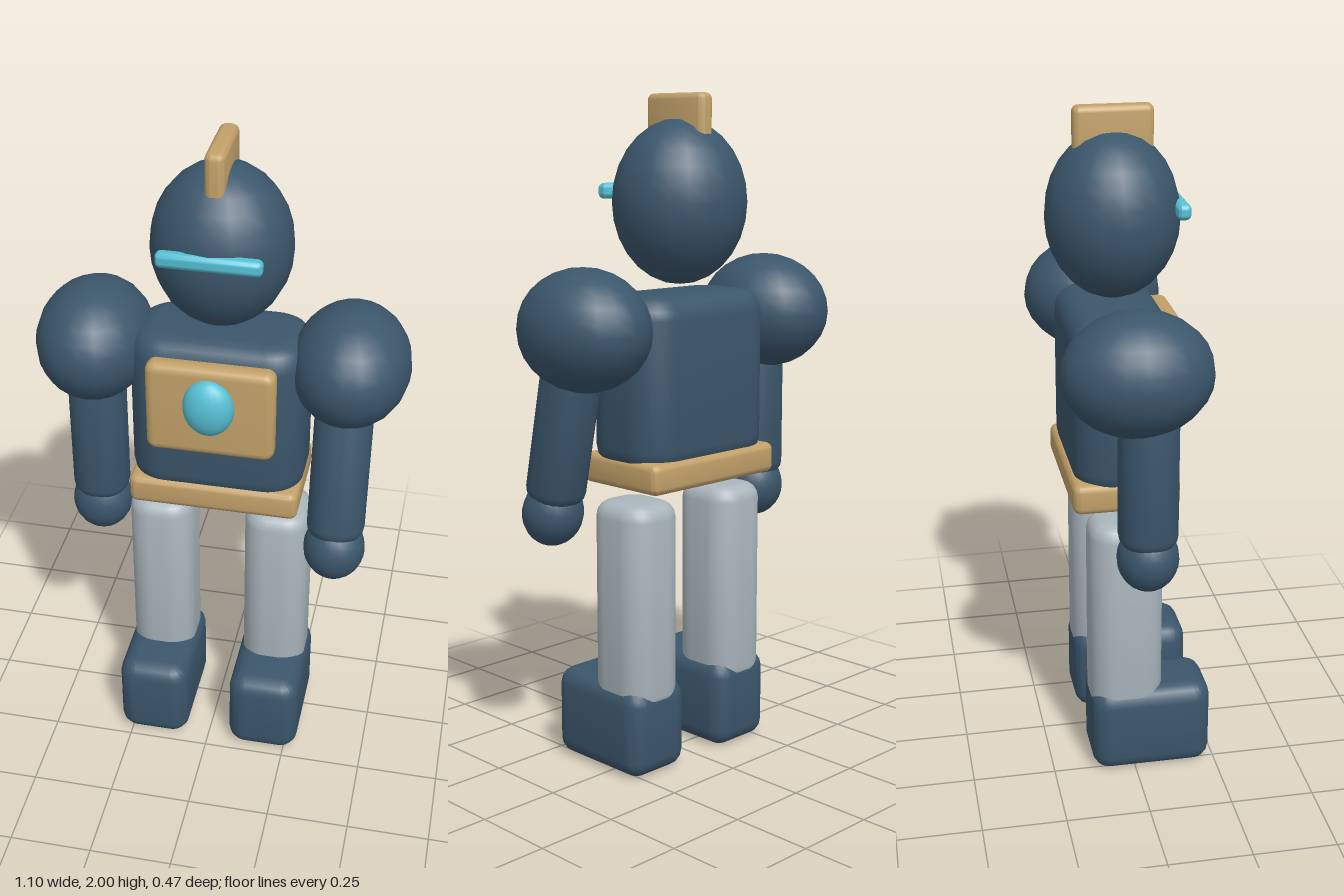
import * as THREE from 'three';
import { toCreasedNormals } from 'three/addons/utils/BufferGeometryUtils.js';

const paint = (name, color) => {
  const m = new THREE.MeshStandardMaterial({ color });
  m.name = name;
  return m;
};

// Upright block: r rounds the vertical edges, bevel rounds top and bottom
function block(w, h, d, r, bevel) {
  const x = w / 2, y = d / 2, s = new THREE.Shape();
  s.moveTo(-x + r, -y);
  s.lineTo(x - r, -y);
  s.absarc(x - r, -y + r, r, -Math.PI / 2, 0);
  s.lineTo(x, y - r);
  s.absarc(x - r, y - r, r, 0, Math.PI / 2);
  s.lineTo(-x + r, y);
  s.absarc(-x + r, y - r, r, Math.PI / 2, Math.PI);
  s.lineTo(-x, -y + r);
  s.absarc(-x + r, -y + r, r, Math.PI, Math.PI * 1.5);
  const g = new THREE.ExtrudeGeometry(s, {
    depth: h - 2 * bevel, curveSegments: 5, bevelEnabled: true,
    bevelThickness: bevel, bevelSize: bevel, bevelOffset: -bevel, bevelSegments: 4,
  });
  g.rotateX(-Math.PI / 2);
  g.center();
  return toCreasedNormals(g, 0.7);
}

// Ellipsoid with the given half sizes
function ball(rx, ry, rz) {
  return new THREE.SphereGeometry(1, 20, 14).scale(rx, ry, rz);
}

export function createModel() {
  const navy = paint('navy armour', 0x3b566b);
  const tan = paint('tan trim', 0xc2a169);
  const cyan = paint('cyan glow', 0x56c0d4);
  const grey = paint('grey legs', 0xaab6bd);

  const model = new THREE.Group();
  model.name = 'robot';
  const add = (name, geometry, material, x, y, z, parent = model) => {
    const mesh = new THREE.Mesh(geometry, material);
    mesh.name = name;
    mesh.position.set(x, y, z);
    parent.add(mesh);
    return mesh;
  };

  // Head
  add('head', ball(0.203, 0.24, 0.195), navy, 0, 1.69, -0.022);
  add('crest', block(0.056, 0.25, 0.23, 0.022, 0.018), tan, 0, 1.875, -0.02);
  add('visor', block(0.295, 0.046, 0.04, 0.016, 0.016), cyan, 0, 1.72, 0.158);

  // Body
  add('torso', block(0.52, 0.51, 0.3, 0.11, 0.065), navy, 0, 1.175, -0.02);
  const plate = add('chestPlate', block(0.375, 0.07, 0.29, 0.03, 0.025), tan, 0, 1.245, 0.14);
  plate.rotation.x = Math.PI / 2;
  add('chestGem', ball(0.075, 0.09, 0.05), cyan, 0, 1.27, 0.175);
  add('belt', block(0.51, 0.09, 0.315, 0.025, 0.02), tan, 0, 0.915, -0.022);

  for (const side of [-1, 1]) {
    const label = side > 0 ? 'left' : 'right';

    // Arm hung from the shoulder; the left one swings forward
    add(label + 'Shoulder', ball(0.173, 0.176, 0.214), navy, side * 0.377, 1.345, -0.02);
    const arm = new THREE.Group();
    arm.name = label + 'Arm';
    arm.position.set(side * 0.372, 1.35, 0.013);
    arm.rotation.x = side > 0 ? -0.21 : 0;
    model.add(arm);
    add(label + 'Forearm', block(0.17, 0.48, 0.17, 0.078, 0.04), navy, 0, -0.29, 0, arm);
    add(label + 'Hand', ball(0.092, 0.1, 0.09), navy, 0, -0.567, 0, arm);

    // Leg and foot
    add(label + 'Leg', block(0.198, 0.625, 0.22, 0.075, 0.045), grey, side * 0.181, 0.5125, -0.02);
    add(label + 'Foot', block(0.222, 0.275, 0.365, 0.055, 0.05), navy, side * 0.179, 0.1375, 0.053);
  }
  return model;
}
